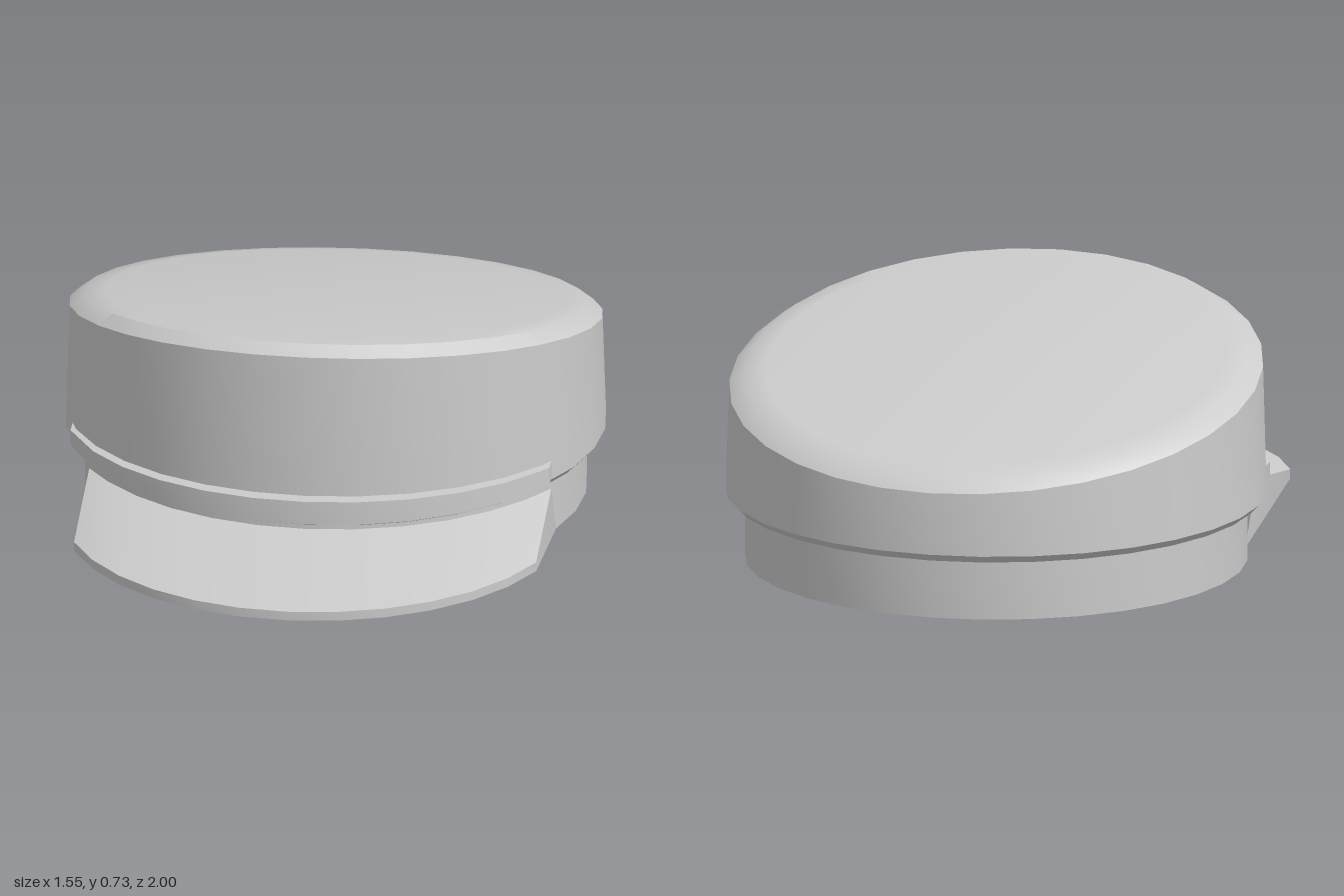
import * as THREE from 'three';
import { toCreasedNormals } from 'three/addons/utils/BufferGeometryUtils.js';

const SEG = 32;        // sides of every round part
const CZ = -0.225;     // z of the cap's axis
const BAND_R = 0.72;
const CROWN_R = 0.775;
const SLOPE = 0.21;    // tilt of the crown top

const material = new THREE.MeshStandardMaterial({ color: 0xcccccc });

function addMesh(group, name, geometry) {
  const mesh = new THREE.Mesh(toCreasedNormals(geometry, 0.55), material);
  mesh.name = name;
  group.add(mesh);
  return mesh;
}

function lathe(profile) {
  return new THREE.LatheGeometry(profile.map(([r, y]) => new THREE.Vector2(r, y)), SEG);
}

// z of the front half of a circle at a given x
const arcZ = (x, r, cz = CZ) => cz + Math.sqrt(Math.max(0, r * r - x * x));

// Skins four-cornered sections [z, y] placed along x, with both ends capped
function loft(xs, sectionAt) {
  const pos = [];
  const index = [];
  for (const x of xs) for (const [z, y] of sectionAt(x)) pos.push(x, y, z);
  for (let i = 0; i < xs.length - 1; i++) {
    for (let j = 0; j < 4; j++) {
      const a = i * 4 + j, b = i * 4 + (j + 1) % 4;
      const d = a + 4, c = b + 4;
      index.push(a, d, b, b, d, c);
    }
  }
  const e = (xs.length - 1) * 4;
  index.push(0, 1, 2, 0, 2, 3, e, e + 2, e + 1, e, e + 3, e + 2);
  const geometry = new THREE.BufferGeometry();
  geometry.setAttribute('position', new THREE.Float32BufferAttribute(pos, 3));
  geometry.setIndex(index);
  return geometry;
}

export function createModel() {
  const cap = new THREE.Group();
  cap.name = 'peakedCap';

  // Head band with the open hollow and its flat ceiling
  addMesh(cap, 'headBand', lathe([
    [0, 0.28], [0.59, 0.28], [0.59, 0], [BAND_R, 0], [BAND_R, 0.18],
  ])).position.z = CZ;

  // Crown: rounded underside, tapered wall, bevelled top tilted down to the back
  const crown = lathe([
    [0.71, 0.174], [0.755, 0.178], [CROWN_R, 0.2],
    [0.765, 0.54], [0.72, 0.574], [0.66, 0.582], [0, 0.585],
  ]);
  const p = crown.attributes.position;
  for (let i = 0; i < p.count; i++) {
    if (p.getY(i) > 0.5) p.setY(i, p.getY(i) + SLOPE * p.getZ(i));
  }
  addMesh(cap, 'crown', crown).position.z = CZ;

  // Visor: wedge from the band and crown out to the same arc moved forward
  const visorXs = [];
  for (let i = -6; i <= 6; i++) visorXs.push(BAND_R * Math.sin(i * 2 * Math.PI / SEG));
  addMesh(cap, 'visor', loft(visorXs, (x) => {
    const inner = arcZ(x, BAND_R);
    const outer = inner + 0.505;
    return [[inner, 0], [outer, 0.077], [outer, 0.104], [arcZ(x, CROWN_R), 0.174]];
  }));

  // Strap: thin crescent across the front of the crown
  const strapXs = [-0.73];
  for (let i = -5; i <= 5; i++) strapXs.push(CROWN_R * Math.sin(i * 2 * Math.PI / SEG));
  strapXs.push(0.665);
  addMesh(cap, 'strap', loft(strapXs, (x) => {
    const inner = arcZ(x, CROWN_R - 0.02);
    const outer = arcZ(x, CROWN_R, CZ + 0.043);
    const top = 0.246 + 0.05 * outer;
    return [[inner, 0.205], [outer, 0.205], [outer, top], [inner, top]];
  }));

  return cap;
}
